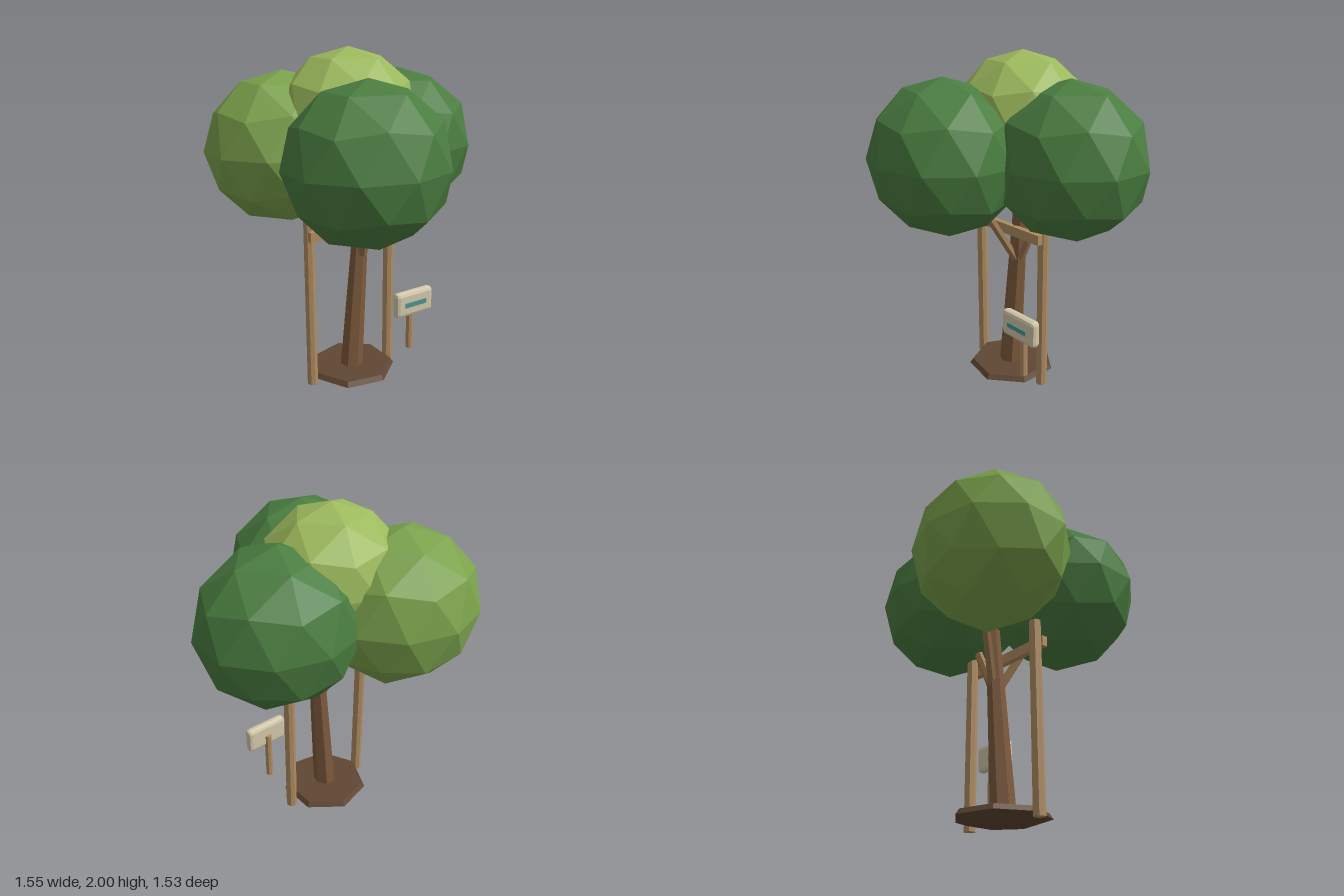
import * as THREE from 'three';
import { RoundedBoxGeometry } from 'three/addons/geometries/RoundedBoxGeometry.js';

const mat = (color) => new THREE.MeshStandardMaterial({ color, flatShading: true });
const BARK = mat(0x7d5a3c), BRANCH = mat(0x97744c), TIMBER = mat(0xb08d62), SOIL = mat(0x5f4733);
const DARK_LEAF = mat(0x4a7d40), LIGHT_LEAF = mat(0x7ba24c), TOP_LEAF = mat(0x9cb95c);
const CREAM = mat(0xd3c8ab), TEAL = mat(0x4f9490);

export function createModel() {
  const model = new THREE.Group();
  const add = (name, geometry, material, x = 0, y = 0, z = 0) => {
    const mesh = new THREE.Mesh(geometry, material);
    mesh.name = name;
    mesh.position.set(x, y, z);
    model.add(mesh);
    return mesh;
  };
  // Tapered round timber between two points
  const limb = (name, from, to, r0, r1, sides, material) => {
    const a = new THREE.Vector3(...from), b = new THREE.Vector3(...to);
    const dir = b.clone().sub(a);
    const mesh = add(name, new THREE.CylinderGeometry(r1, r0, dir.length(), sides), material);
    mesh.position.copy(a).add(b).multiplyScalar(0.5);
    mesh.quaternion.setFromUnitVectors(new THREE.Vector3(0, 1, 0), dir.normalize());
  };

  // Crown: faceted balls with a corner pointing straight up
  const ball = new THREE.IcosahedronGeometry(1, 1);
  ball.rotateX(-Math.atan((1 + Math.sqrt(5)) / 2));
  ball.rotateY(Math.PI / 2);
  const crown = (name, x, y, z, size, material) =>
    add(name, ball, material, x, y, z).scale.set(0.471 * size, 0.4475 * size, 0.4265 * size);
  crown('frontFoliage', -0.193, 1.422, 0.34, 1, DARK_LEAF);
  crown('leftFoliage', 0.325, 1.422, -0.12, 1, DARK_LEAF);
  crown('backFoliage', -0.328, 1.422, -0.342, 1, LIGHT_LEAF);
  crown('topFoliage', -0.035, 1.602, -0.1, 0.89, TOP_LEAF);

  // Leaning trunk and three branches reaching into the crown
  limb('trunk', [-0.068, 0.03, -0.036], [0.025, 1.2, -0.042], 0.072, 0.042, 7, BARK);
  limb('frontBranch', [0, 0.78, -0.015], [-0.11, 1.16, 0.18], 0.028, 0.024, 6, BRANCH);
  limb('leftBranch', [0.02, 0.78, -0.035], [0.18, 1.16, -0.075], 0.028, 0.024, 6, BRANCH);
  limb('backBranch', [0, 0.78, -0.055], [-0.12, 1.16, -0.22], 0.028, 0.024, 6, BRANCH);

  // Low soil mound, narrower underneath
  const soil = new THREE.CylinderGeometry(0.25, 0.27, 0.03, 7);
  const mound = add('soilMound', soil, SOIL, -0.063, 0.045, -0.04);
  mound.rotation.y = 0.25;
  const under = new THREE.CylinderGeometry(0.27, 0.2, 0.022, 7);
  add('moundUnderside', under, SOIL, -0.063, 0.019, -0.04).rotation.y = 0.25;

  // Support posts and crossbar
  for (const [name, x] of [['rightPost', -0.346], ['leftPost', 0.215]])
    add(name, new THREE.CylinderGeometry(0.033, 0.033, 1.08, 8), TIMBER, x, 0.54, -0.04);
  add('crossbar', new THREE.BoxGeometry(0.61, 0.06, 0.035), TIMBER, -0.065, 0.966, 0.01);

  // Sign on a short stake
  add('signStake', new THREE.CylinderGeometry(0.022, 0.022, 0.32, 8), TIMBER, 0.253, 0.313, 0.144);
  add('signBoard', new RoundedBoxGeometry(0.272, 0.16, 0.058, 1, 0.022), CREAM, 0.254, 0.475, 0.17);
  add('signStripe', new THREE.BoxGeometry(0.156, 0.028, 0.014), TEAL, 0.254, 0.475, 0.2);

  return model;
}
